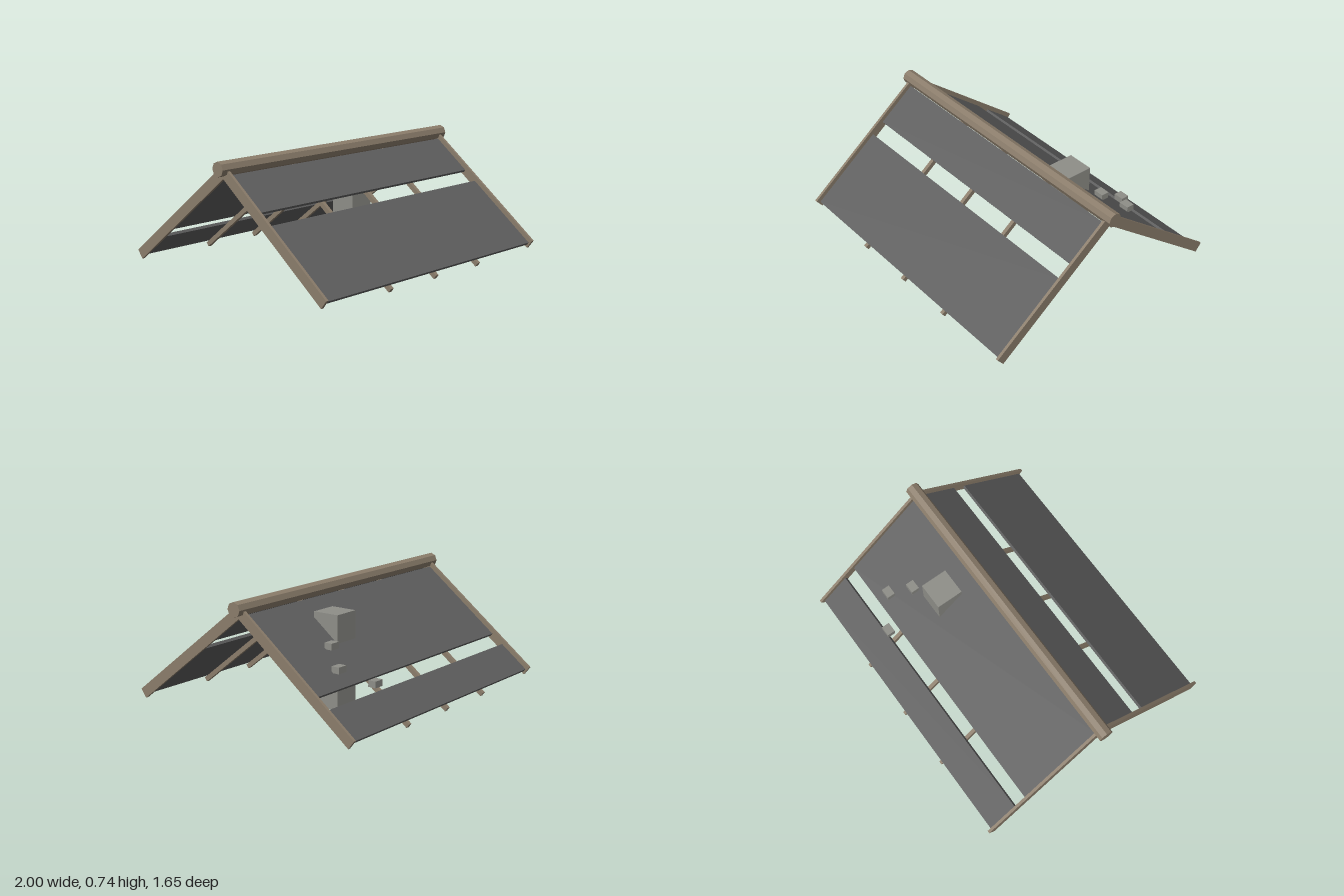
import * as THREE from 'three';

const COS = 0.79, SIN = 0.613, APEX = 0.615;

export function createModel() {
  const model = new THREE.Group();
  model.name = 'gableRoof';

  const wood = new THREE.MeshStandardMaterial({ color: 0x8b7d6b });
  wood.name = 'weathered wood';
  const slate = new THREE.MeshStandardMaterial({ color: 0x5e5e5e });
  slate.name = 'dark slate';
  const stone = new THREE.MeshStandardMaterial({ color: 0x8e8e88 });
  stone.name = 'grey stone';

  const add = (name, geometry, material, x = 0, y = 0, z = 0) => {
    const mesh = new THREE.Mesh(geometry, material);
    mesh.name = name;
    mesh.position.set(x, y, z);
    model.add(mesh);
    return mesh;
  };

  // A sloping bar: s runs down the slope from the ridge, n is height above the rafter underside.
  // Without a start value the upper end is mitred to meet the other side at z = 0.
  const slopeBar = (name, material, side, x, width, n0, n1, s1, s0 = null) => {
    const start = (n) => (s0 === null ? (-n * SIN) / COS : s0);
    const corners = [[start(n0), n0], [s1, n0], [s1, n1], [start(n1), n1]];
    const points = corners.map(([s, n]) =>
      new THREE.Vector2(-side * (s * COS + n * SIN), APEX - s * SIN + n * COS));
    const geometry = new THREE.ExtrudeGeometry(new THREE.Shape(points), { depth: width, bevelEnabled: false });
    geometry.translate(0, 0, -width / 2);
    geometry.rotateY(Math.PI / 2); // profile x becomes -z, depth becomes x
    add(name, geometry, material, x);
  };

  // Ridge log with eight sides
  const ridge = new THREE.CylinderGeometry(0.046, 0.046, 2, 8).toNonIndexed();
  ridge.computeVertexNormals();
  ridge.rotateZ(Math.PI / 2);
  add('ridgeLog', ridge, wood, 0, 0.692, 0);

  // Both slopes: end beams, rafters and two roof panels with a gap between
  const gaps = { 1: [0.304, 0.407], '-1': [0.646, 0.743] };
  for (const side of [1, -1]) {
    const label = side > 0 ? 'front' : 'back';
    for (const x of [-0.95, 0.95]) slopeBar(label + 'EndBeam', wood, side, x, 0.018, 0.012, 0.077, 0.987);
    for (const x of [-0.403, 0, 0.403]) slopeBar(label + 'Rafter', wood, side, x, 0.024, 0, 0.03, 1.003);
    const [gapTop, gapBottom] = gaps[side];
    slopeBar(label + 'UpperPanel', slate, side, 0, 1.884, 0.03, 0.049, gapTop, 0);
    slopeBar(label + 'LowerPanel', slate, side, 0, 1.884, 0.03, 0.049, 0.975, gapBottom);
  }

  // Chimney through the back slope
  add('chimney', new THREE.BoxGeometry(0.176, 0.585, 0.176), stone, 0.361, 0.3125, -0.227);

  // Loose stones on the back slope
  const stones = [[0.535, 0.465, -0.34], [0.632, 0.365, -0.469], [0.456, 0.265, -0.599]];
  for (const [x, top, z] of stones) {
    add('looseStone', new THREE.BoxGeometry(0.068, 0.04, 0.053), stone, x, top - 0.02, z);
  }

  return model;
}
